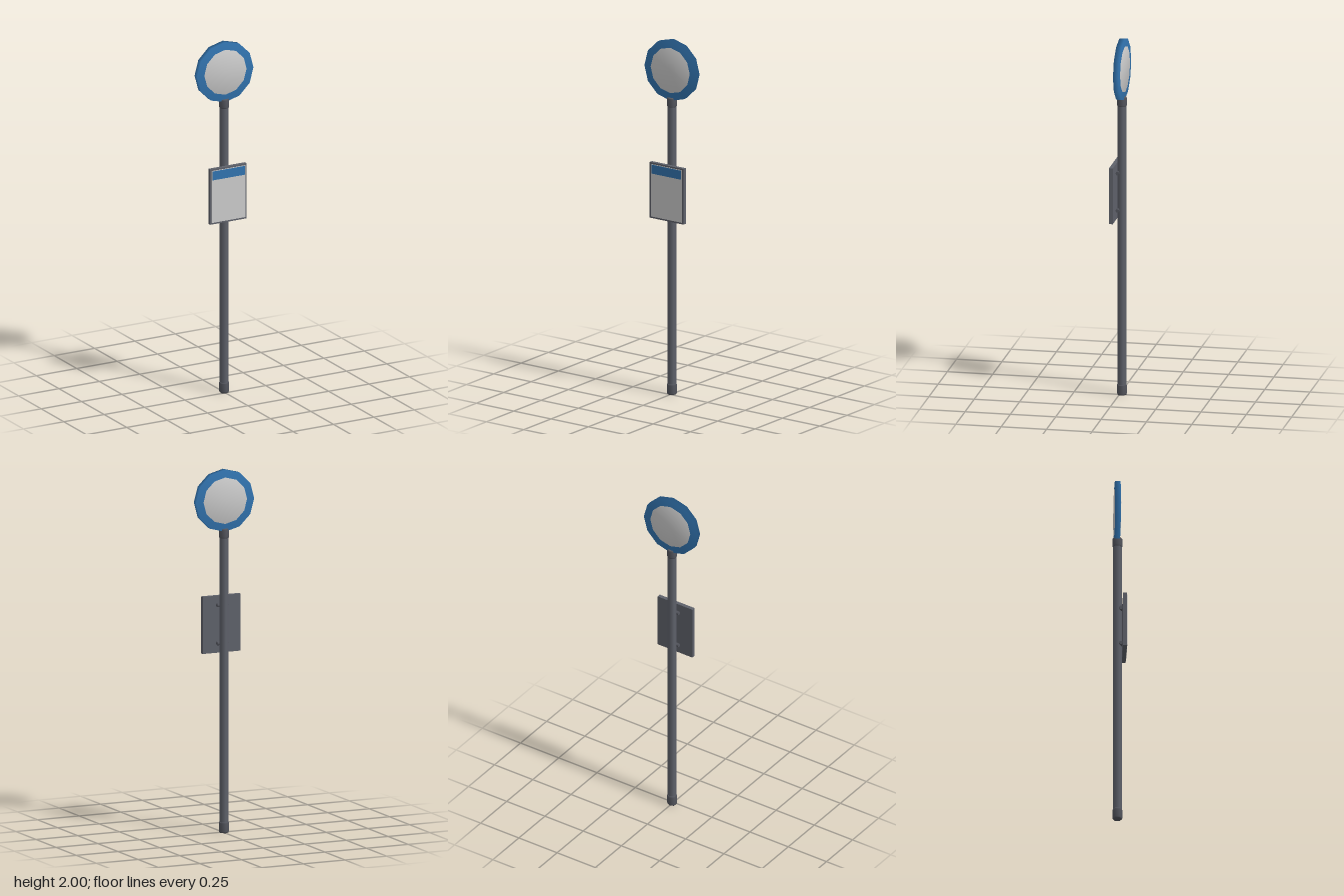
import * as THREE from 'three';

const POLE_Z = -0.0135;
const mat = (color) => new THREE.MeshStandardMaterial({ color });
const steel = mat(0x5f626b);
const darkSteel = mat(0x55575f);
const blue = mat(0x3274b0);
const white = mat(0xcccccc);

export function createModel() {
  const model = new THREE.Group();

  const add = (name, geometry, material, x, y, z) => {
    const mesh = new THREE.Mesh(geometry, material);
    mesh.name = name;
    mesh.position.set(x, y, z);
    model.add(mesh);
    return mesh;
  };
  const lathe = (points, sides) =>
    new THREE.LatheGeometry(points.map(([r, y]) => new THREE.Vector2(r, y)), sides);

  // Six-sided pole
  add('pole', new THREE.CylinderGeometry(0.025, 0.025, 1.62, 6), steel, 0, 0.84, POLE_Z);

  // End collars, slightly chamfered
  const collar = (name, y, h) => add(name, lathe([
    [0, 0], [0.024, 0], [0.0275, 0.008], [0.0275, h - 0.006], [0.025, h], [0, h],
  ], 6), darkSteel, 0, y, POLE_Z);
  collar('baseCollar', 0, 0.06);
  collar('topCollar', 1.62, 0.055);

  // Round sign: blue disc with a pale raised face on each side
  const disc = (name, r, half, material) => {
    const geometry = lathe([[0, -half], [r, -half], [r, half], [0, half]], 12);
    geometry.rotateX(Math.PI / 2).scale(1, 0.982, 1);
    return add(name, geometry, material, 0, 1.829, POLE_Z - 0.001);
  };
  disc('signRim', 0.174, 0.015, blue);
  disc('signFace', 0.13, 0.0175, white);

  // Timetable panel: backing frame, sheet and header strip
  add('panelFrame', new THREE.BoxGeometry(0.226, 0.314, 0.021), steel, 0, 1.144, 0.0245);
  add('panelSheet', new THREE.BoxGeometry(0.208, 0.296, 0.004), white, 0, 1.144, 0.035);
  add('panelHeader', new THREE.BoxGeometry(0.198, 0.05, 0.004), blue, 0, 1.264, 0.0368);

  // Clamp bolts between panel and pole
  for (const y of [1.04, 1.25]) {
    const bolt = new THREE.CylinderGeometry(0.011, 0.011, 0.066, 6).rotateZ(Math.PI / 2);
    add('clampBolt', bolt, darkSteel, 0, y, 0.005);
  }

  return model;
}
